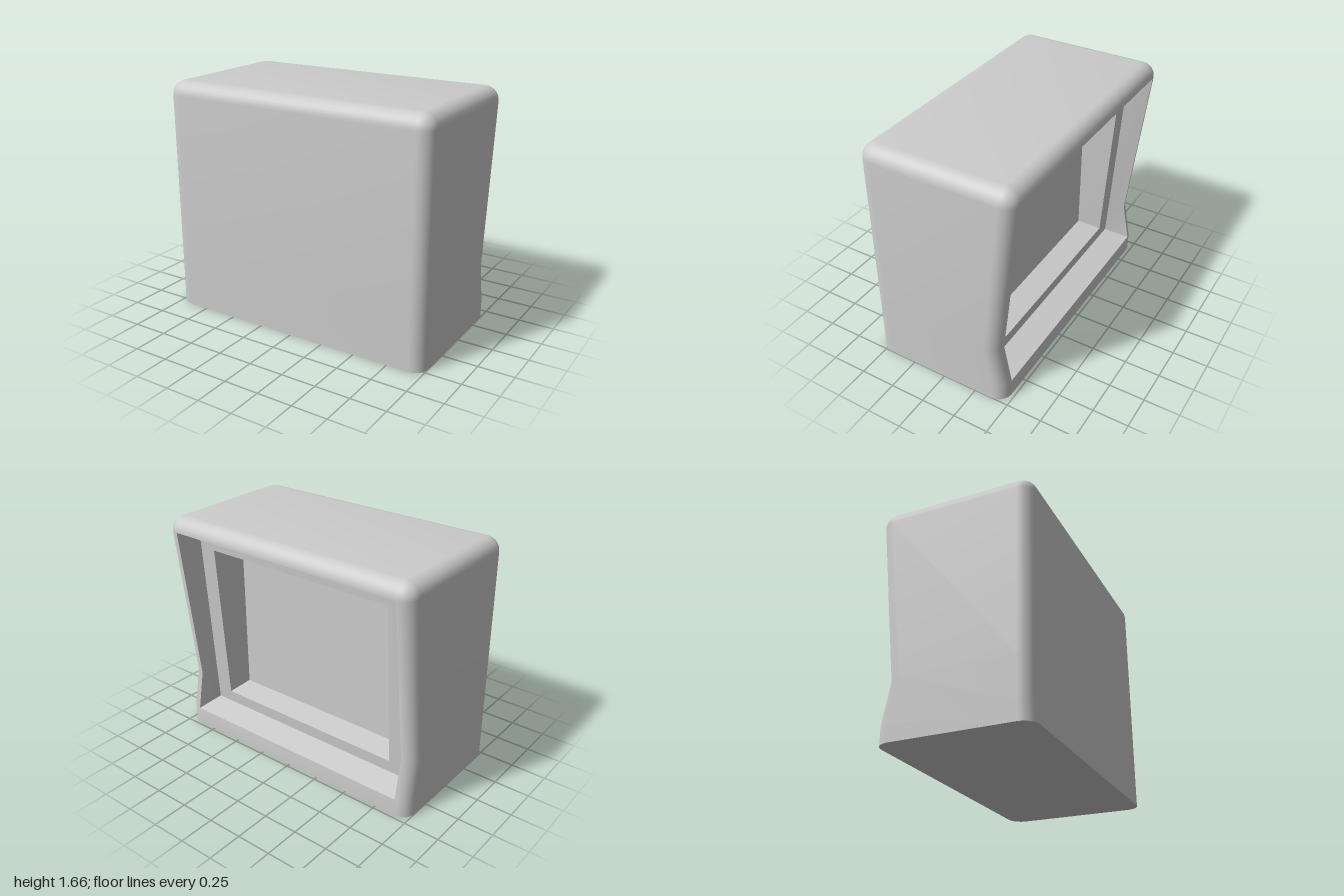
import * as THREE from 'three';
import { toCreasedNormals } from 'three/addons/utils/BufferGeometryUtils.js';

const R = 0.1;    // edge rounding
const N = 8;      // segments per rounded corner
const FRONT = 0.55;

// Collects triangles from closed rings of points
class Skin {
  constructor() { this.pos = []; }
  tri(a, b, c) {
    const area = b.clone().sub(a).cross(c.clone().sub(a)).length();
    if (area > 1e-9) for (const p of [a, b, c]) this.pos.push(p.x, p.y, p.z);
  }
  bridge(lower, upper, skip = -1) {
    lower.forEach((a, i) => {
      if (i === skip) return;
      const j = (i + 1) % lower.length;
      this.tri(a, upper[i], upper[j]);
      this.tri(a, upper[j], lower[j]);
    });
  }
  cap(ring, flip) {
    for (let i = 1; i < ring.length - 1; i++) {
      if (flip) this.tri(ring[0], ring[i + 1], ring[i]);
      else this.tri(ring[0], ring[i], ring[i + 1]);
    }
  }
  mesh(name, crease) {
    const g = new THREE.BufferGeometry();
    g.setAttribute('position', new THREE.Float32BufferAttribute(this.pos, 3));
    const m = new THREE.Mesh(toCreasedNormals(g, crease),
      new THREE.MeshStandardMaterial({ color: 0xcccccc }));
    m.name = name;
    return m;
  }
}

// Horizontal rounded rectangle at height y; its corner centres stay inset by R
function outline(y, back, radius) {
  const pts = [];
  for (let k = 0; k < 4; k++) {
    const cx = k === 0 || k === 3 ? 1 - R : R - 1;
    const cz = k < 2 ? FRONT - R : back + R;
    for (let i = 0; i <= N; i++) {
      const a = (k + i / N) * Math.PI / 2;
      pts.push(new THREE.Vector3(cx + radius * Math.cos(a), y, cz + radius * Math.sin(a)));
    }
  }
  return pts;
}

// Upright rectangular ring given [y, z] at its bottom, middle and top
function frame(x, levels) {
  const side = (s) => levels.map(([y, z]) => new THREE.Vector3(s * x, y, z));
  return [...side(1), ...side(-1).reverse()];
}

export function createModel() {
  const group = new THREE.Group();
  group.name = 'openBackedCasing';

  // Back profile: foot, pinched waist, overhanging top
  const backProfile = [[0.125, -0.475], [0.41, -0.42], [1.56, -0.55]];

  // Outer casing with rounded edges; the flat of the back is left open
  const shell = new Skin();
  const rings = [[0, -0.475], ...backProfile].map(([y, z]) => outline(y, z, R));
  for (let i = 1; i <= N; i++) {
    const a = (i / N) * Math.PI / 2;
    rings.push(outline(1.56 + R * Math.sin(a), -0.55, i === N ? 0 : R * Math.cos(a)));
  }
  const backFlat = 3 * (N + 1) - 1;
  for (let i = 0; i < rings.length - 1; i++) {
    const open = i === 1 || i === 2;
    shell.bridge(rings[i], rings[i + 1], open ? backFlat : -1);
  }
  shell.cap(rings[0], false);
  shell.cap(rings[rings.length - 1], true);
  group.add(shell.mesh('casing', 0.6));

  // Stepped recess: tapered wall, tilted ledge, inner wall, back panel
  const ledgeZ = (y) => -0.293 - 0.066 * (y - 0.167);
  const onLedge = (ys) => ys.map((y) => [y, ledgeZ(y)]);
  const steps = [
    frame(1 - R, backProfile),
    frame(0.855, onLedge([0.167, 0.44, 1.512])),
    frame(0.73, onLedge([0.255, 0.48, 1.42])),
    frame(0.70, [[0.285, -0.125], [0.5, -0.125], [1.39, -0.125]]),
  ];
  ['recessWall', 'ledge', 'innerWall'].forEach((name, i) => {
    const skin = new Skin();
    skin.bridge(steps[i], steps[i + 1]);
    group.add(skin.mesh(name, 0.4));
  });
  const panel = new Skin();
  panel.cap(steps[3], true);
  group.add(panel.mesh('innerPanel', 0.4));

  return group;
}
